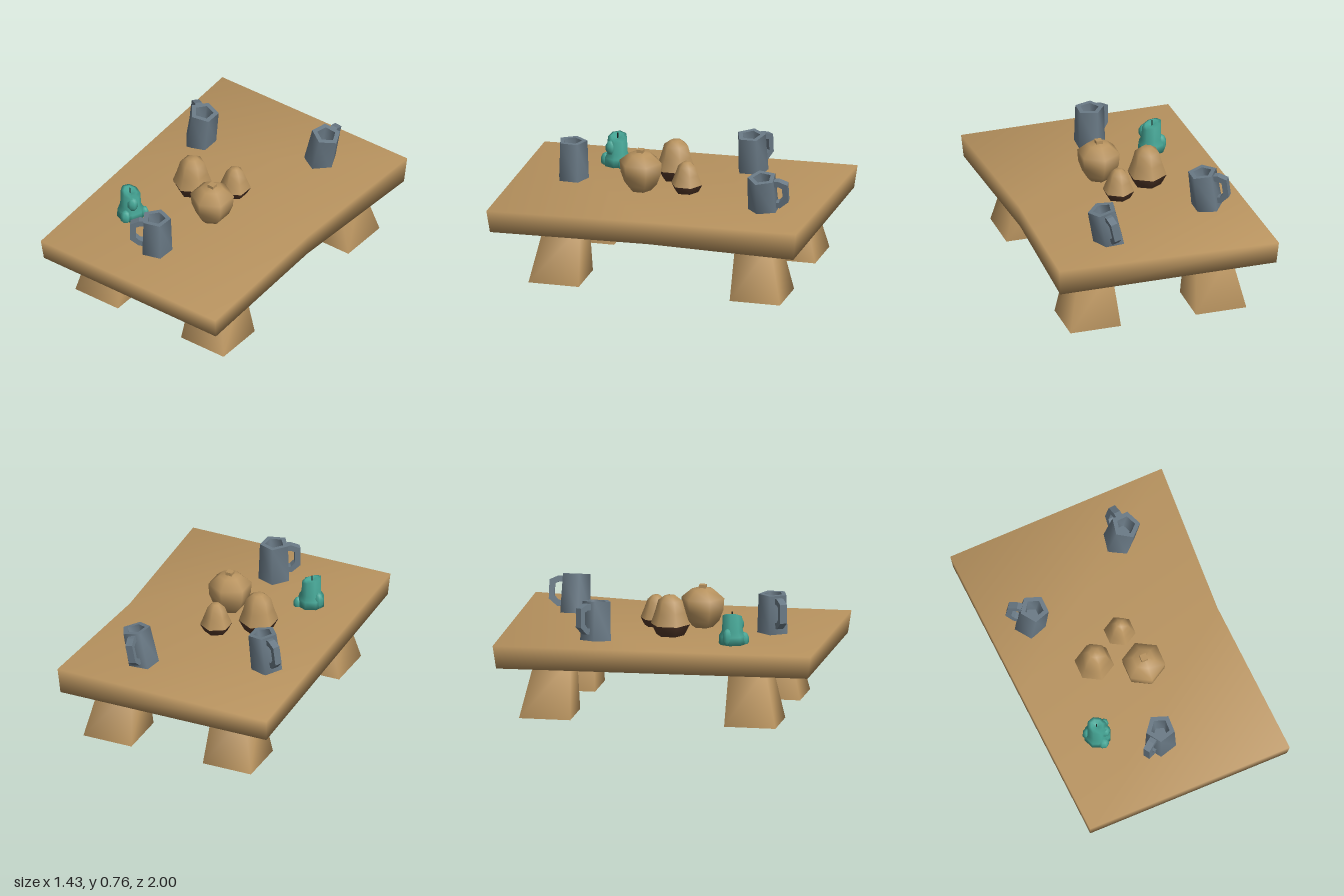
import * as THREE from 'three';
import { toCreasedNormals } from 'three/addons/utils/BufferGeometryUtils.js';

const mat = (name, color, side = THREE.FrontSide) => {
  const m = new THREE.MeshStandardMaterial({ color, side });
  m.name = name;
  return m;
};

export function createModel() {
  const wood = mat('tan wood', 0xb8935f);
  const pewter = mat('blue grey pewter', 0x6a7a86);
  const wax = mat('teal wax', 0x45a595);
  const brown = mat('dark brown glaze', 0x55392a);
  const black = mat('black wick', 0x1c2422);
  const model = new THREE.Group();
  const TOP = 0.485;

  const add = (parent, name, geo, material, x = 0, y = 0, z = 0) => {
    const mesh = new THREE.Mesh(geo, material);
    mesh.name = name;
    mesh.position.set(x, y, z);
    parent.add(mesh);
    return mesh;
  };
  const lathe = (pts, sides) =>
    new THREE.LatheGeometry(pts.map(([r, y]) => new THREE.Vector2(r, y)), sides);
  const reshape = (geo, rule) => {
    const p = geo.attributes.position;
    const v = new THREE.Vector3();
    for (let i = 0; i < p.count; i++) {
      rule(v.fromBufferAttribute(p, i));
      p.setXYZ(i, v.x, v.y, v.z);
    }
    return geo;
  };
  const group = (name, x, y, z) => {
    const g = new THREE.Group();
    g.name = name;
    g.position.set(x, y, z);
    model.add(g);
    return g;
  };

  // Table top: a warped plank ring, slightly smaller underneath
  const ring = [
    [-0.72, 0.492, -1], [-0.68, 0.49, 0], [-0.64, 0.487, 1],
    [0.715, 0.487, 1], [0.67, 0.493, -0.03], [0.715, 0.52, -1],
  ];
  const positions = [];
  ring.forEach((p) => positions.push(...p));
  ring.forEach(([x, , z]) => positions.push(x * 0.985, 0.347, z * 0.98));
  const faces = [[0, 1, 5], [1, 4, 5], [1, 2, 4], [2, 3, 4]];
  const index = [];
  for (const [a, b, c] of faces) index.push(a, b, c, a + 6, c + 6, b + 6);
  for (let i = 0; i < 6; i++) {
    const j = (i + 1) % 6;
    index.push(i + 6, j + 6, j, i + 6, j, i);
  }
  const slab = new THREE.BufferGeometry();
  slab.setAttribute('position', new THREE.Float32BufferAttribute(positions, 3));
  slab.setIndex(index);
  slab.computeVertexNormals();
  add(model, 'tableTop', slab, wood);

  // Legs: four flared blocks, [bottom min, bottom max, top min, top max]
  const spansX = [[-0.55, -0.22, -0.47, -0.25], [0.27, 0.6, 0.305, 0.52]];
  const spansZ = [[0.435, 0.76, 0.45, 0.68], [-0.865, -0.54, -0.78, -0.555]];
  for (const sx of spansX) {
    for (const sz of spansZ) {
      const geo = reshape(new THREE.BoxGeometry(1, 1, 1), (v) => {
        const k = v.y > 0 ? 2 : 0;
        v.set(sx[k + (v.x > 0 ? 1 : 0)], v.y > 0 ? 0.36 : 0, sz[k + (v.z > 0 ? 1 : 0)]);
      });
      add(model, 'leg', toCreasedNormals(geo, 1.6), wood);
    }
  }

  // Mugs: five-sided hollow cups with an angular handle, leaning a little
  const cup = toCreasedNormals(
    lathe([[0, 0], [0.102, 0], [0.093, 0.245], [0.06, 0.245], [0.045, 0.14], [0, 0.14]], 5), 1.3);
  const outline = [
    [0.065, 0.23], [0.105, 0.23], [0.16, 0.205], [0.16, 0.085], [0.105, 0.04], [0.07, 0.04],
    [0.07, 0.075], [0.1, 0.08], [0.125, 0.105], [0.125, 0.18], [0.1, 0.192], [0.065, 0.192],
  ].map(([x, y]) => new THREE.Vector2(x, y));
  const handle = new THREE.ExtrudeGeometry(new THREE.Shape(outline), { depth: 0.045, bevelEnabled: false });
  handle.translate(0, 0, -0.0225).rotateY(Math.PI / 2);
  const mugs = [
    [0.28, -0.675, 0.12, -0.21],
    [-0.445, -0.395, 0.96, -0.13],
    [-0.01, 0.645, 2.16, 0],
  ];
  for (const [x, z, turn, lean] of mugs) {
    const mug = group('mug', x, TOP + 0.01, z);
    mug.rotation.set(0, turn, lean, 'ZYX');
    add(mug, 'mugCup', cup, pewter);
    add(mug, 'mugHandle', handle, pewter);
  }

  // Round lidded pot with a square knob
  const pot = group('pot', 0.08, TOP, 0.18);
  add(pot, 'potBody', lathe([[0, 0], [0.06, 0], [0.105, 0.05], [0.13, 0.115], [0.136, 0.19],
    [0.07, 0.245], [0, 0.258]], 6), wood);
  add(pot, 'potKnob', new THREE.BoxGeometry(0.042, 0.03, 0.042), wood, 0, 0.258, 0);

  // Two tapered jars with dark glazed feet
  const jar = (x, z, foot, body) => {
    const g = group('jar', x, TOP, z);
    add(g, 'jarFoot', lathe(foot, 6), brown);
    add(g, 'jarBody', lathe(body, 6), wood);
  };
  jar(-0.188, 0.025, [[0, 0], [0.085, 0], [0.124, 0.075]],
    [[0.124, 0.075], [0.098, 0.15], [0.077, 0.225], [0.035, 0.256], [0, 0.258]]);
  jar(0.042, -0.108, [[0, 0], [0.068, 0], [0.1, 0.058]],
    [[0.1, 0.058], [0.075, 0.12], [0.055, 0.175], [0.025, 0.202], [0, 0.204]]);

  // Melted candle: sloping top, spread foot and drips
  const candle = group('candle', -0.35, TOP, 0.45);
  const stub = reshape(
    lathe([[0, 0], [0.088, 0], [0.084, 0.055], [0.066, 0.085], [0.062, 0.18], [0.04, 0.188], [0, 0.17]], 8),
    (v) => {
      if (v.y > 0.1) v.y -= v.x * 0.35;
      v.x -= v.y * 0.02;
    });
  add(candle, 'candleBody', stub, wax);
  for (const [x, y, z, r, h] of [
    [0.066, 0.02, -0.052, 0.028, 0.045], [0.01, 0.03, 0.068, 0.036, 0.05],
    [-0.062, 0.05, -0.02, 0.032, 0.06], [0.035, 0.12, 0.03, 0.036, 0.05],
  ]) {
    add(candle, 'waxDrip', new THREE.SphereGeometry(r, 7, 5), wax, x, y, z).scale.y = h / r;
  }
  add(candle, 'wick', new THREE.CylinderGeometry(0.004, 0.004, 0.045, 5), black, -0.008, 0.185, 0);

  return model;
}
